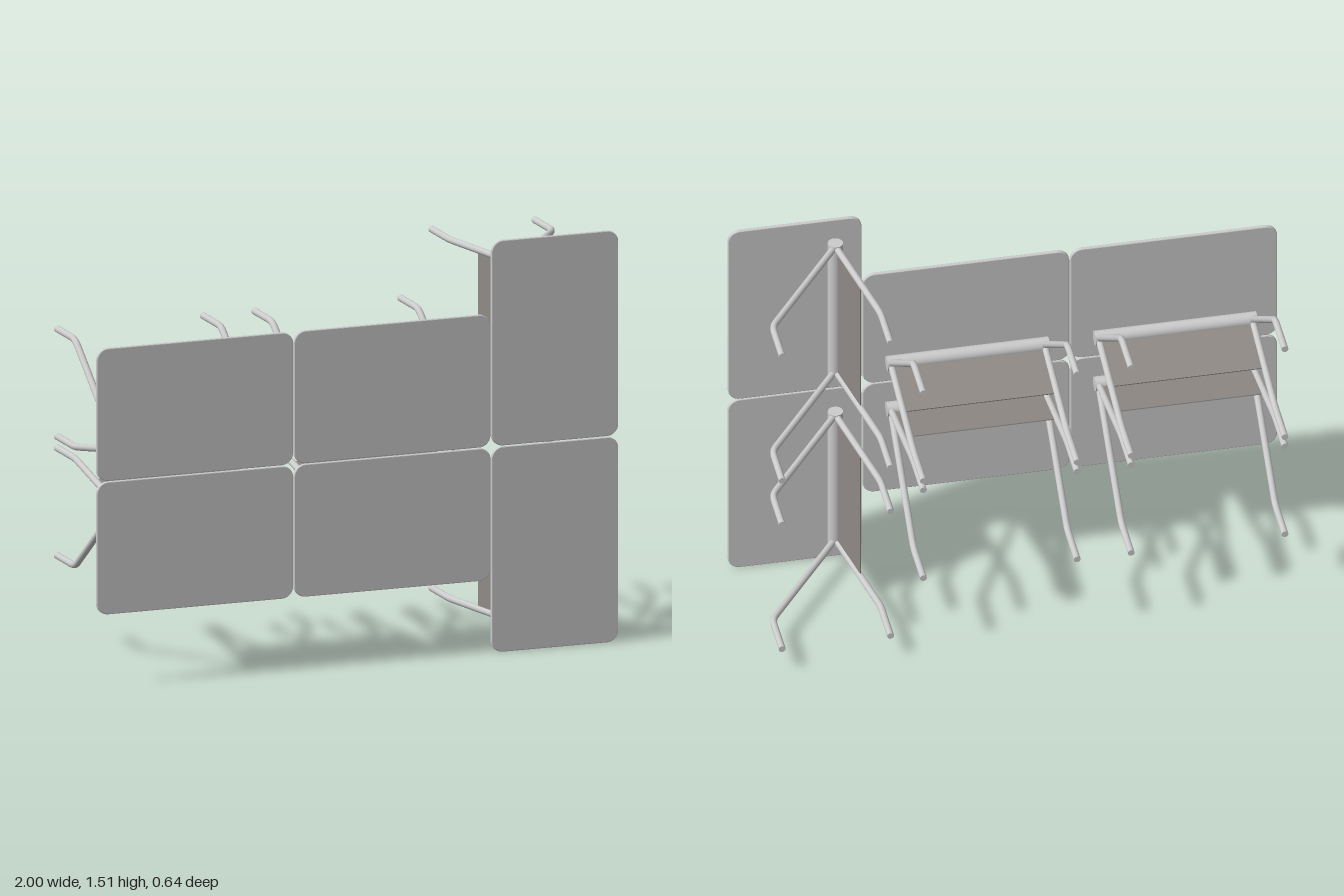
import * as THREE from 'three';
import { mergeGeometries } from 'three/addons/utils/BufferGeometryUtils.js';

const W = 0.753, H = 0.486, GAP = 0.004;   // panel long side, short side, joint
const FRONT = 0.32, PANEL_BACK = 0.305, REAR = -0.32;
const ROD_X = -0.142, ROD_Z = 0.2775, ROD_R = 0.0275, LEG_R = 0.0125;
const LEG_Y = 0.28, BEND_Z = -0.142, NEAR_X = -0.224, FAR_X = 0.171;

const grey = new THREE.MeshStandardMaterial({ color: 0xcccccc });
const dark = new THREE.MeshStandardMaterial({ color: 0x8f8a86 });

function part(name, geometry, material = grey) {
  const mesh = new THREE.Mesh(geometry, material);
  mesh.name = name;
  return mesh;
}

// Thin upright panel with rounded corners and softened edges
function panelGeometry() {
  const b = 0.003, x = H / 2 - b, y = W / 2 - b, r = 0.04;
  const s = new THREE.Shape();
  s.absarc(x - r, y - r, r, 0, Math.PI / 2);
  s.absarc(-x + r, y - r, r, Math.PI / 2, Math.PI);
  s.absarc(-x + r, -y + r, r, Math.PI, Math.PI * 1.5);
  s.absarc(x - r, -y + r, r, Math.PI * 1.5, Math.PI * 2);
  s.closePath();
  const g = new THREE.ExtrudeGeometry(s, {
    depth: FRONT - PANEL_BACK - 2 * b, bevelSize: b, bevelThickness: b, bevelSegments: 2, curveSegments: 10,
  });
  return g.translate(0, 0, PANEL_BACK + b);
}

// Bent tube from the rod out to the side, then straight back, with a closed end
function legGeometry(endX) {
  const start = new THREE.Vector3(ROD_X, 0, ROD_Z);
  const bend = new THREE.Vector3(endX, 0, BEND_Z);
  const end = new THREE.Vector3(endX, 0, REAR);
  const into = bend.clone().lerp(start, 0.03 / bend.distanceTo(start));
  const out = bend.clone().lerp(end, 0.03 / bend.distanceTo(end));
  const path = new THREE.CurvePath();
  path.add(new THREE.LineCurve3(start, into));
  path.add(new THREE.QuadraticBezierCurve3(into, bend, out));
  path.add(new THREE.LineCurve3(out, end));
  const tube = new THREE.TubeGeometry(path, 48, LEG_R, 14);
  const cap = new THREE.CircleGeometry(LEG_R, 14).rotateY(Math.PI).translate(endX, 0, REAR);
  return mergeGeometries([tube, cap]);
}

// Flat web spanning the two near legs, starting at the rod
function webGeometry() {
  const dx = NEAR_X - ROD_X, dz = BEND_Z - ROD_Z;
  const t = (0.045 - ROD_Z) / dz;
  const length = Math.hypot(dx, dz) * t;
  return new THREE.BoxGeometry(0.004, LEG_Y * 2, length)
    .rotateY(Math.atan2(dx, dz))
    .translate(ROD_X + dx * t / 2, 0, ROD_Z + dz * t / 2);
}

export function createModel() {
  const model = new THREE.Group();
  model.name = 'panelWall';

  const panel = panelGeometry();
  const rod = new THREE.CylinderGeometry(ROD_R, ROD_R, 0.59, 24).translate(ROD_X, 0, ROD_Z);
  const nearLeg = legGeometry(NEAR_X), farLeg = legGeometry(FAR_X);
  const web = webGeometry();

  // One panel with its rod, web and four bent legs
  function addUnit(name, x, y, turn) {
    const unit = new THREE.Group();
    unit.name = name;
    unit.add(part('panel', panel), part('rod', rod), part('web', web, dark));
    for (const side of [-1, 1]) {
      const near = part('nearLeg', nearLeg), far = part('farLeg', farLeg);
      near.position.y = far.position.y = side * LEG_Y;
      unit.add(near, far);
    }
    unit.position.set(x, y, 0);
    unit.rotation.z = turn;
    model.add(unit);
  }

  const midY = W + GAP / 2;
  for (const s of [-1, 1]) {
    const row = s > 0 ? 'upper' : 'lower';
    // Upright panel on the left, lying panels beside it mirrored about the middle
    addUnit(row + 'UprightUnit', 1 - H / 2, midY + s * (W + GAP) / 2, 0);
    for (let i = 0; i < 2; i++) {
      addUnit(row + 'LyingUnit' + (i + 1), -1 + W / 2 + i * (W + GAP),
        midY + s * (H + GAP) / 2, s * Math.PI / 2);
    }
  }
  return model;
}
